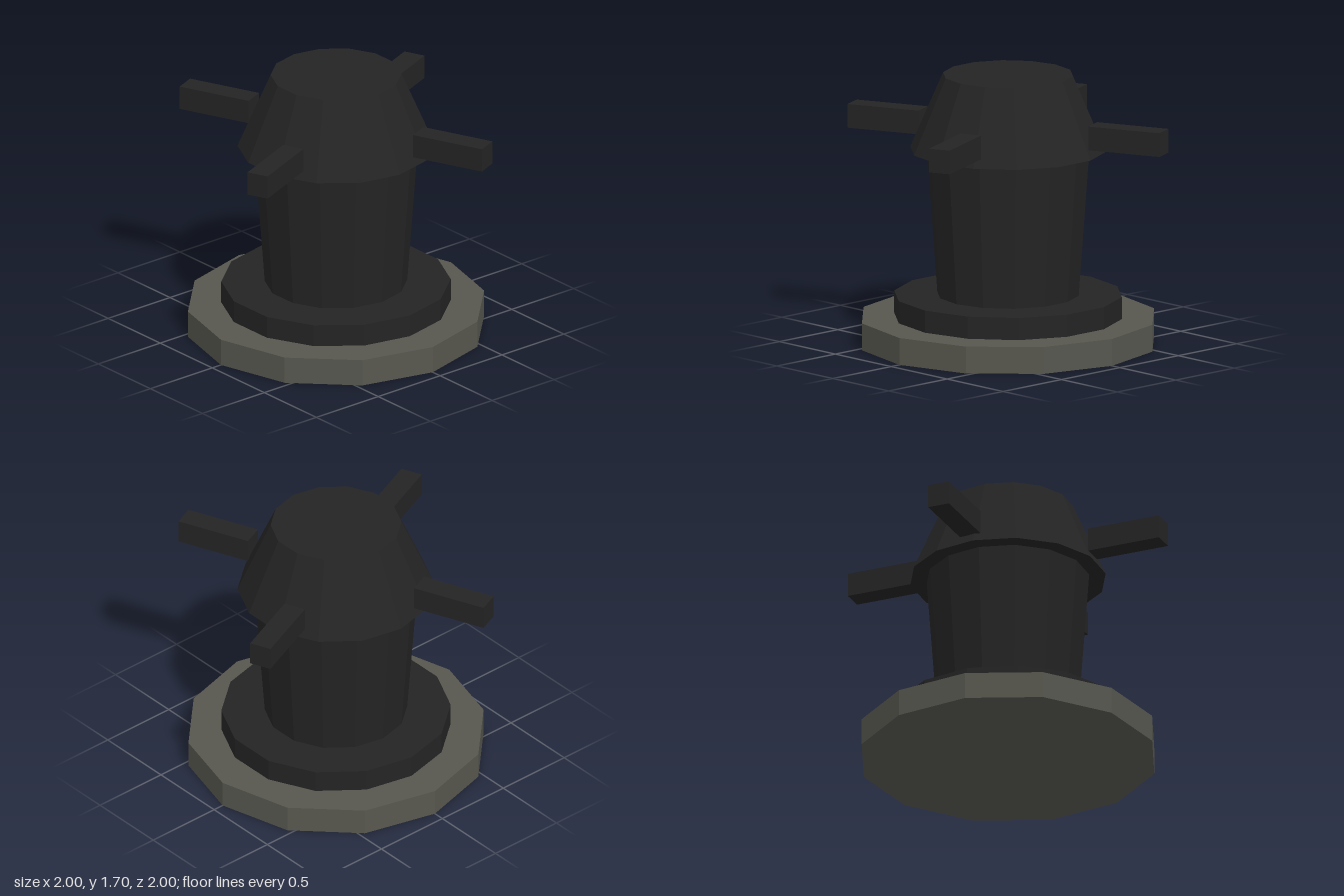
import * as THREE from 'three';

export function createModel() {
  const model = new THREE.Group();
  model.name = 'capstan';

  const iron = new THREE.MeshStandardMaterial({ color: 0x242424, flatShading: true });
  iron.name = 'dark iron';
  const stone = new THREE.MeshStandardMaterial({ color: 0x57574f, flatShading: true });
  stone.name = 'grey stone';

  // Faceted round part between two heights, with a corner on the x axis
  function drum(name, rTop, rBottom, y0, y1, sides, material) {
    const geometry = new THREE.CylinderGeometry(rTop, rBottom, y1 - y0, sides, 1, false, Math.PI / 2);
    const mesh = new THREE.Mesh(geometry, material);
    mesh.name = name;
    mesh.position.y = (y0 + y1) / 2;
    model.add(mesh);
  }

  drum('basePlate', 0.93, 0.93, 0, 0.17, 12, stone);
  drum('footRing', 0.71, 0.71, 0.17, 0.31, 14, iron);
  drum('post', 0.507, 0.441, 0.31, 1.225, 14, iron);
  drum('cap', 0.405, 0.61, 1.225, 1.7, 14, iron);

  // Four bars radiating from the cap
  const inner = 0.573, outer = 1.053;
  const barGeometry = new THREE.BoxGeometry(outer - inner, 0.15, 0.14);
  barGeometry.translate((inner + outer) / 2, 0, 0);
  for (let i = 0; i < 4; i++) {
    const bar = new THREE.Mesh(barGeometry, iron);
    bar.name = `bar${i + 1}`;
    bar.position.y = 1.357;
    bar.rotation.y = Math.PI / 8 + (i * Math.PI) / 2;
    model.add(bar);
  }

  return model;
}
